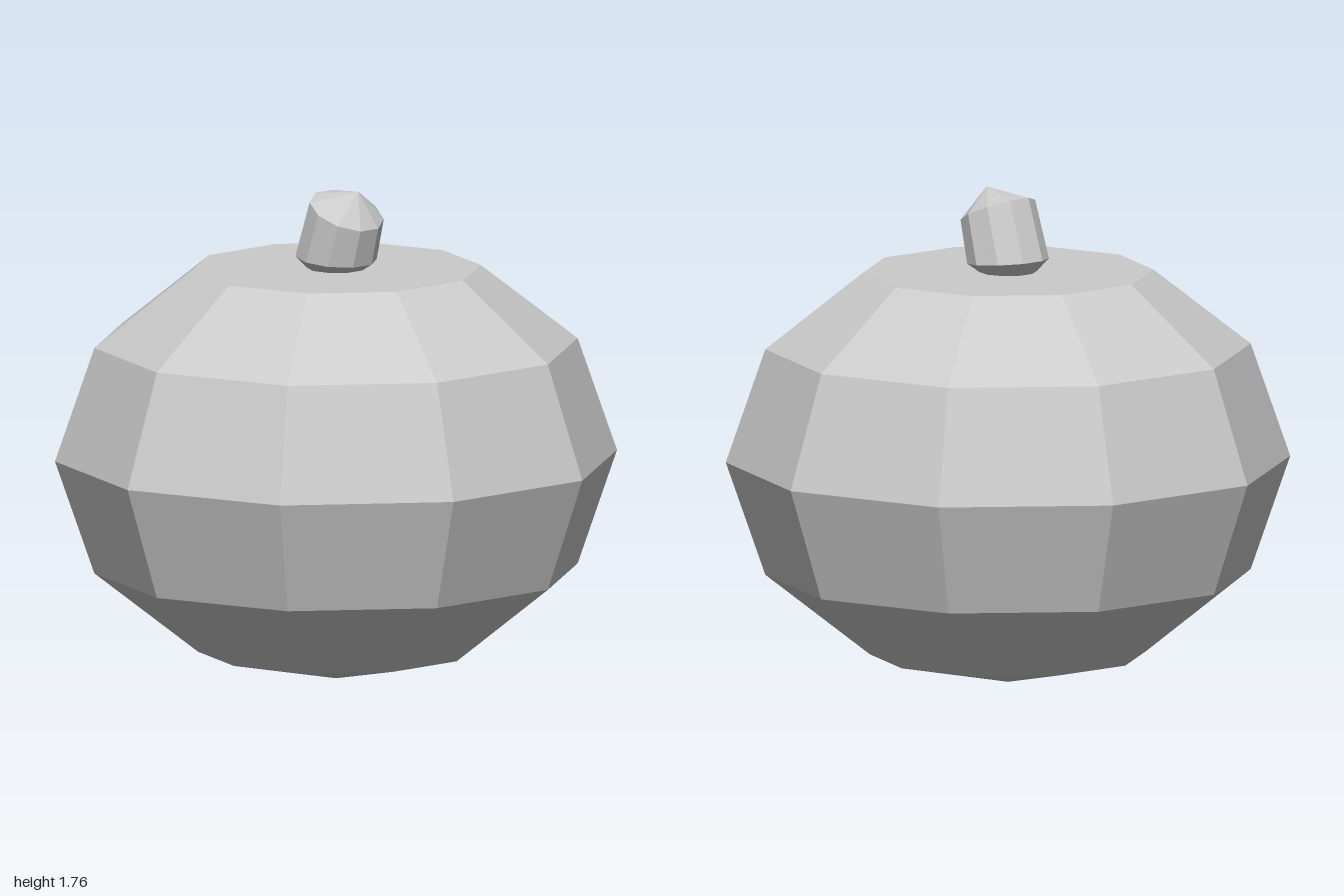
import * as THREE from 'three';

const SIDES = 10;

export function createModel() {
  const model = new THREE.Group();
  const material = new THREE.MeshStandardMaterial({ color: 0xcccccc, flatShading: true });

  const lathe = (name, profile) => {
    const points = profile.map(([r, y]) => new THREE.Vector2(r, y));
    const mesh = new THREE.Mesh(new THREE.LatheGeometry(points, SIDES), material);
    mesh.name = name;
    model.add(mesh);
    return mesh;
  };

  // Faceted round body with a pointed base and a flat top
  lathe('body', [
    [0, 0], [0.49, 0.105], [0.86, 0.395], [1, 0.8],
    [0.86, 1.205], [0.515, 1.475], [0, 1.475],
  ]);

  // Stem: each ring is a station with its own centre and lean, so it bends to +x
  const stations = [
    { r: 0, x: -0.03, y: 1.39, lean: 0 },
    { r: 0.145, x: 0, y: 1.512, lean: 5.3 },
    { r: 0.137, x: 0.056, y: 1.688, lean: 24.5 },
    { r: 0, x: 0.117, y: 1.764, lean: 0 },
  ];
  const stem = lathe('stem', stations.map((s, i) => [s.r, i]));
  const pos = stem.geometry.attributes.position;
  for (let i = 0; i < pos.count; i++) {
    const s = stations[Math.round(pos.getY(i))];
    const a = THREE.MathUtils.degToRad(s.lean);
    const x = pos.getX(i);
    pos.setXY(i, s.x + x * Math.cos(a), s.y - x * Math.sin(a));
  }
  stem.geometry.computeVertexNormals();

  return model;
}
